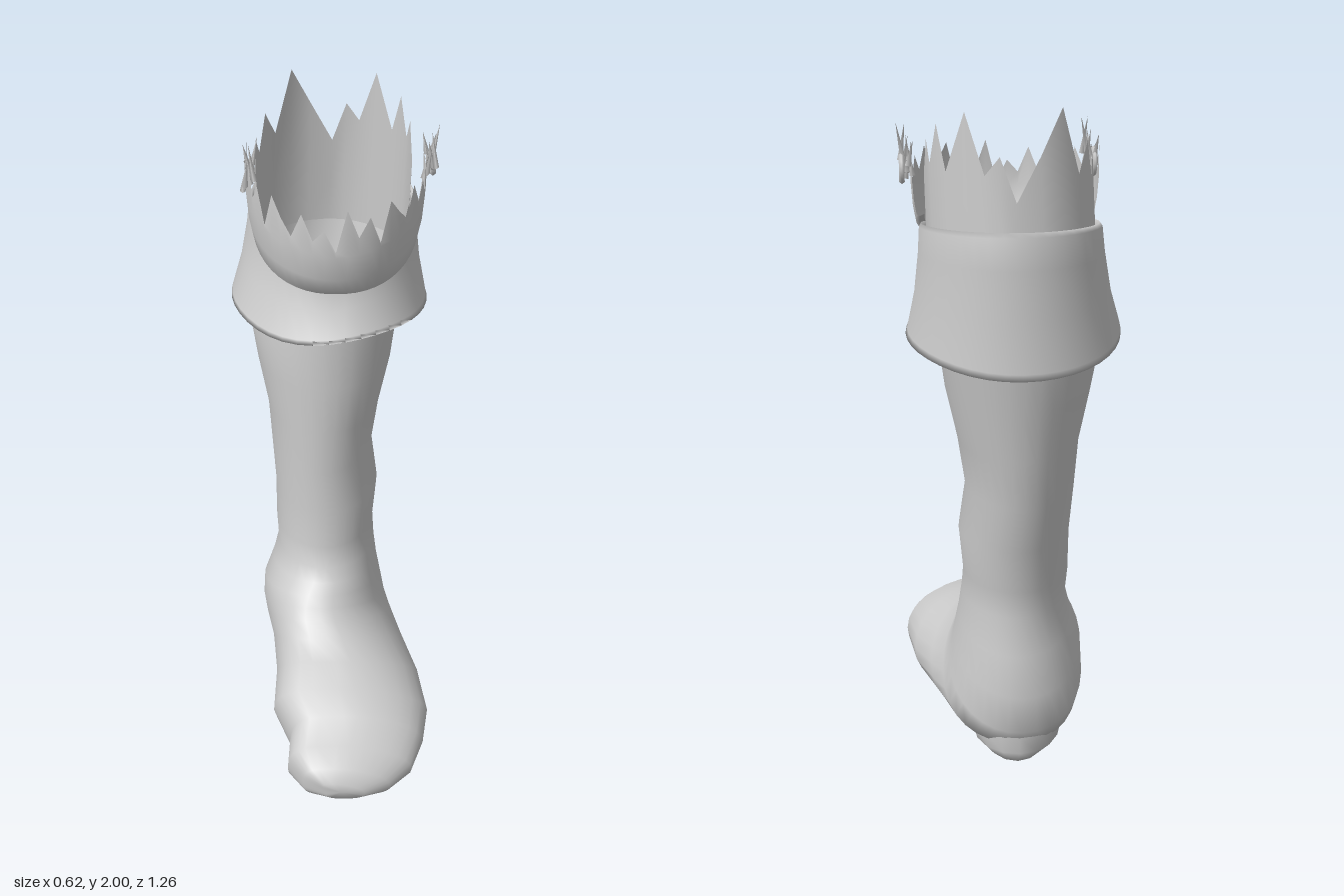
import * as THREE from 'three';

const leather = new THREE.MeshStandardMaterial({ color: 0xcccccc, side: THREE.DoubleSide });
leather.name = 'grey leather';
const rad = THREE.MathUtils.degToRad;

// Skin a list of rows (each a list of [x, y, z]); rows may wrap around and start with a cap.
function loft(name, rows, { closed = true, cap = false } = {}) {
  const n = rows[0].length, pos = rows.flat(2), index = [];
  for (let r = 0; r < rows.length - 1; r++) {
    for (let i = 0; i < (closed ? n : n - 1); i++) {
      const j = (i + 1) % n;
      const a = r * n + i, b = r * n + j, c = b + n, d = a + n;
      index.push(a, b, d, b, c, d);
    }
  }
  if (cap) {
    const mid = [0, 1, 2].map(k => rows[0].reduce((s, p) => s + p[k], 0) / n);
    pos.push(...mid);
    for (let i = 0; i < n; i++) index.push(rows.length * n, (i + 1) % n, i);
  }
  const geo = new THREE.BufferGeometry();
  geo.setAttribute('position', new THREE.Float32BufferAttribute(pos, 3));
  geo.setIndex(index);
  geo.computeVertexNormals();
  const mesh = new THREE.Mesh(geo, leather);
  mesh.name = name;
  return mesh;
}

// Point on an oval given by its x and z limits; angle 0 is the front, 90 is +x.
function oval(deg, y, x0, x1, z0, z1) {
  const a = rad(deg);
  return [(x0 + x1) / 2 + Math.sin(a) * (x1 - x0) / 2, y, (z0 + z1) / 2 + Math.cos(a) * (z1 - z0) / 2];
}

// Foot and leg in one skin: each section spans a front/top point and a back/sole point.
function makeBoot() {
  // front z, front y, back z, back y, min x, max x, how foot-like (0..1)
  const sections = [
    [0.63, 0.14, 0.625, 0.07, -0.02, 0.10, 1],
    [0.60, 0.175, 0.58, 0.035, -0.09, 0.18, 1],
    [0.53, 0.20, 0.52, 0.035, -0.14, 0.25, 1],
    [0.44, 0.24, 0.41, 0.035, -0.135, 0.29, 1],
    [0.37, 0.285, 0.26, 0.04, -0.19, 0.31, 1],
    [0.27, 0.31, 0.04, 0.04, -0.185, 0.285, 0.9],
    [0.20, 0.345, -0.18, 0.05, -0.20, 0.235, 0.7],
    [0.155, 0.38, -0.36, 0.06, -0.225, 0.20, 0.5],
    [0.125, 0.41, -0.405, 0.12, -0.235, 0.18, 0.3],
    [0.10, 0.44, -0.41, 0.24, -0.23, 0.165, 0.1],
    [0.07, 0.47, -0.395, 0.37, -0.20, 0.15, 0],
    [0.04, 0.51, -0.37, 0.49, -0.18, 0.14, 0],
    [0.02, 0.58, -0.385, 0.58, -0.185, 0.135, 0],
    [0.015, 0.72, -0.41, 0.72, -0.185, 0.148, 0],
    [0.01, 0.87, -0.445, 0.87, -0.195, 0.128, 0],
    [0.01, 1.02, -0.47, 1.02, -0.205, 0.15, 0],
    [0.01, 1.18, -0.498, 1.18, -0.235, 0.185, 0],
    [0.0, 1.35, -0.53, 1.35, -0.262, 0.208, 0],
    [-0.01, 1.48, -0.55, 1.48, -0.245, 0.228, 0],
  ];
  const N = 32;
  const rows = sections.map(([uz, uy, lz, ly, x0, x1, k]) => Array.from({ length: N }, (_, i) => {
    const a = i / N * Math.PI * 2, c = Math.cos(a), s = Math.sin(a);
    const f = 0.5 - 0.15 * k;
    const t = c >= 0 ? f + c * (1 - f) : f - f * Math.pow(-c, 1 - 0.3 * k);
    const q = s < 0 ? 1 - 0.35 * k : 1;
    // the instep ridge leans toward -x
    const lean = 0.04 * k * Math.max(0, c) ** 2;
    const x = (x0 + x1) / 2 + Math.sign(s) * Math.pow(Math.abs(s), q) * (x1 - x0) / 2 - lean;
    return [x, ly + t * (uy - ly), lz + t * (uz - lz)];
  }));
  return loft('bootFootAndLeg', rows, { cap: true });
}

// Torn top edge of the leg: tall jagged points at the back, low at the front.
function makeTornTop() {
  const edge = [[0, 1.56], [25, 1.57], [45, 1.6], [62, 1.65], [75, 1.7], [90, 1.8], [103, 1.9],
    [110, 1.84], [120, 1.95], [130, 1.83], [146, 1.99], [160, 1.83], [170, 1.88], [181, 1.76],
    [197, 1.88], [213, 2.0], [230, 1.82], [242, 1.9], [254, 1.8], [265, 1.86], [275, 1.76],
    [288, 1.68], [300, 1.63], [315, 1.6], [337, 1.57]];
  const rows = [0, 0.5, 1].map(t => edge.map(([deg, y]) =>
    oval(deg, 1.48 + t * (y - 1.48), -0.245 + 0.02 * t, 0.228 + 0.007 * t, -0.55 + 0.025 * t, -0.01)));
  return loft('tornLegTop', rows);
}

// Turned cuff: a flared sleeve with a rolled top lip and a thin hem.
function makeCuff() {
  // height 0..1, min x, max x, back z, front z
  const profile = [
    [0.05, -0.295, 0.275, -0.60, 0.045],
    [0, -0.312, 0.295, -0.632, 0.068],
    [0.05, -0.31, 0.29, -0.632, 0.06],
    [0.4, -0.278, 0.268, -0.622, 0.02],
    [0.75, -0.258, 0.256, -0.622, 0.0],
    [0.97, -0.25, 0.252, -0.618, -0.003],
    [1, -0.243, 0.247, -0.605, -0.006],
    [0.94, -0.24, 0.242, -0.59, -0.008],
  ];
  const N = 40;
  const rows = profile.map(([h, x0, x1, z0, z1]) => Array.from({ length: N }, (_, i) => {
    const deg = i / N * 360, back = (1 - Math.cos(rad(deg))) / 2;
    const low = 1.375 - 0.065 * back * back + 0.012 * Math.sin(rad(deg * 3)) * (1 - back);
    const high = 1.56 + 0.14 * Math.pow(back, 0.35);
    return oval(deg, low + h * (high - low), x0, x1, z0, z1);
  }));
  return loft('turnedCuff', rows);
}

// Front flap: a sagging pouch of torn leather, joined to the leg, with a ragged rim.
function makeFlap() {
  const N = 28, jags = [0.04, -0.03, 0.01, -0.05, 0.07, -0.02, 0.03, -0.06, 0.05, 0, -0.04];
  // height 0..1, outward scale, share of the ragged offset
  const profile = [[0.03, 0.62, 0], [0, 0.76, 0], [0.03, 0.87, 0], [0.3, 0.95, 0], [0.68, 1, 0], [1, 0.99, 1]];
  const rows = profile.map(([h, s, rag]) => Array.from({ length: N + 1 }, (_, i) => {
    const deg = -100 + 200 * i / N, u = Math.abs(deg) / 90;
    const low = 1.55 + 0.1 * Math.pow(u, 2.4);
    const high = 1.755 + 0.07 * u;
    const k = 1 - (1 - s) * Math.max(0.25, 1 - 0.6 * u);
    return oval(deg, low + h * (high - low) + rag * jags[i % jags.length],
      0.01 - 0.262 * k, 0.01 + 0.262 * k, -0.2 - 0.335 * k, -0.2 + 0.335 * k);
  }));
  return loft('tornFrontFlap', rows, { closed: false });
}

// Frayed shreds and a curled strip at one side of the torn rim.
function makeFray(name, x, z, side) {
  const group = new THREE.Group();
  group.name = name;
  for (let i = 0; i < 8; i++) {
    const height = 0.07 + 0.05 * ((i * 5) % 8) / 8;
    const shred = new THREE.Mesh(new THREE.ConeGeometry(0.01, height, 3), leather);
    shred.name = 'frayedShred';
    shred.position.set(((i * 3) % 5 - 2) * 0.007, 0.03 + height / 2 - 0.02 * (i % 3), (i - 3.5) * 0.016);
    shred.rotation.set(0.25 * Math.sin(i * 2), 0, 0.2 * Math.cos(i * 3));
    group.add(shred);
  }
  const curl = new THREE.Mesh(new THREE.TorusGeometry(0.035, 0.008, 5, 14, Math.PI * 1.4), leather);
  curl.name = 'curledStrip';
  curl.rotation.set(0, Math.PI / 2, 0.3 - Math.PI);
  curl.position.set(0.01 * side, 0.02, -0.03);
  group.add(curl);
  group.position.set(x, 1.79, z);
  return group;
}

// Worn heel pad: a wedge that deepens toward the back.
function makeHeel() {
  const ring = (x0, x1, z0, z1, yFront, yBack) => Array.from({ length: 16 }, (_, i) => {
    const deg = i / 16 * 360, back = (1 - Math.cos(rad(deg))) / 2;
    return oval(deg, yFront + (yBack - yFront) * back, x0, x1, z0, z1);
  });
  return loft('heelPad', [
    ring(-0.12, 0.08, -0.375, -0.11, 0.05, 0.004),
    ring(-0.16, 0.11, -0.385, -0.095, 0.06, 0.035),
    ring(-0.17, 0.12, -0.385, -0.09, 0.075, 0.09),
  ], { cap: true });
}

export function createModel() {
  const model = new THREE.Group();
  model.name = 'tornBoot';
  model.add(makeBoot(), makeTornTop(), makeCuff(), makeFlap(), makeHeel(),
    makeFray('leftFray', 0.285, -0.22, 1), makeFray('rightFray', -0.235, -0.13, -1));
  return model;
}
